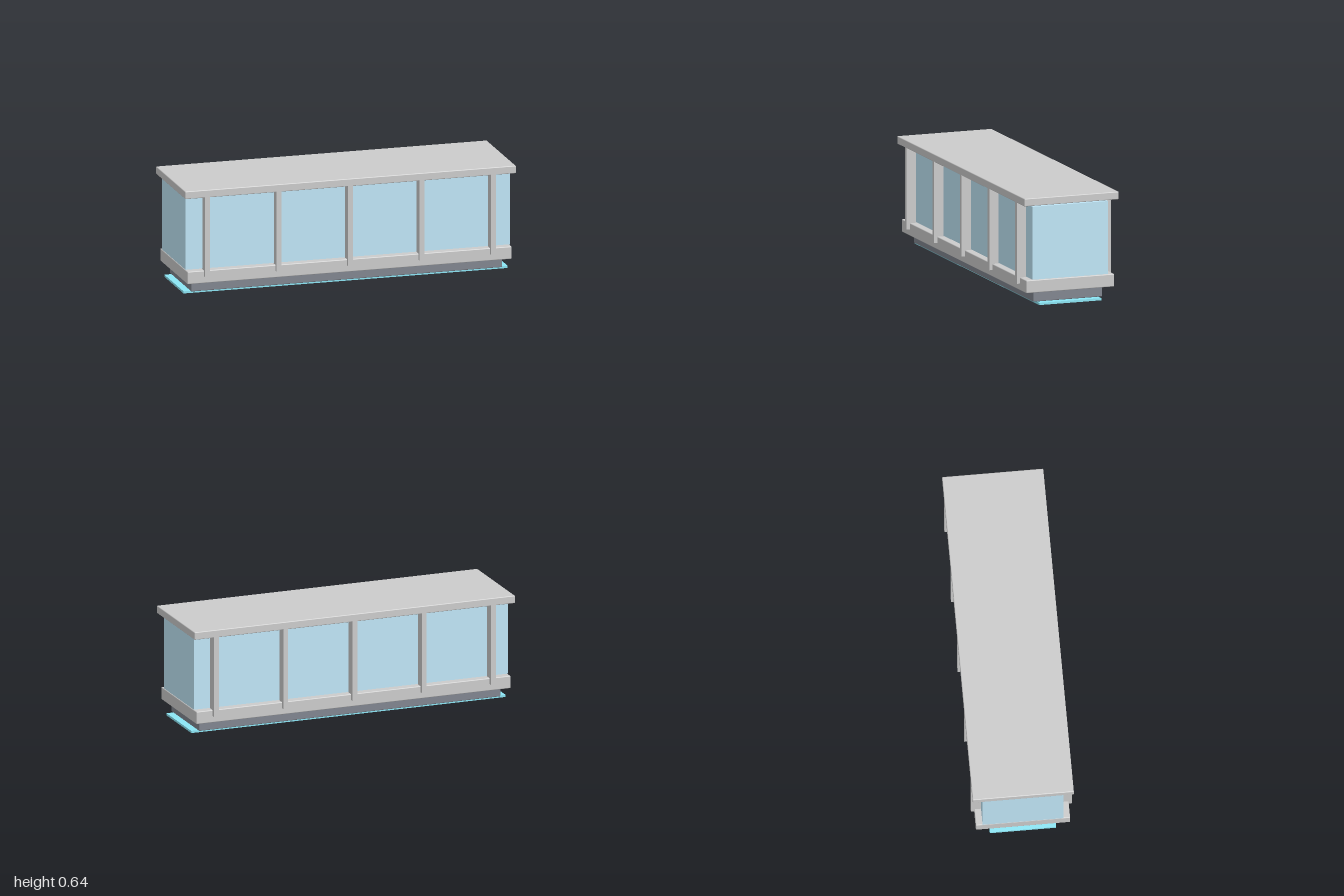
import * as THREE from 'three';
import { RoundedBoxGeometry } from 'three/addons/geometries/RoundedBoxGeometry.js';

export function createModel() {
  const model = new THREE.Group();
  const material = (color) => new THREE.MeshStandardMaterial({ color });
  const grey = material(0xcccccc);
  const dark = material(0x80858f);
  const glass = material(0xc0e6f7);
  const glow = material(0x8ce6f5);

  // Box centred on x, from y0 to y1, with optional softened edges
  function addBox(name, mat, width, depth, y0, y1, bevel = 0, x = 0, z = 0) {
    const geometry = bevel
      ? new RoundedBoxGeometry(width, y1 - y0, depth, 2, bevel)
      : new THREE.BoxGeometry(width, y1 - y0, depth);
    const mesh = new THREE.Mesh(geometry, mat);
    mesh.name = name;
    mesh.position.set(x, (y0 + y1) / 2, z);
    model.add(mesh);
  }

  // Stacked body, from the ground up
  addBox('lightStrip', glow, 1.96, 0.386, 0, 0.013);
  addBox('plinth', dark, 1.88, 0.43, 0.013, 0.073, 0.005);
  addBox('baseSlab', grey, 1.96, 0.548, 0.075, 0.15, 0.005);
  addBox('glassBody', glass, 1.96, 0.47, 0.153, 0.583);
  addBox('roof', grey, 2, 0.588, 0.592, 0.638, 0.005);

  // Upright posts along the front and back
  for (const side of [1, -1]) {
    for (let i = -2; i <= 2; i++) {
      addBox('post', grey, 0.03, 0.06, 0.114, 0.6, 0, i * 0.432, side * 0.264);
    }
  }
  return model;
}
